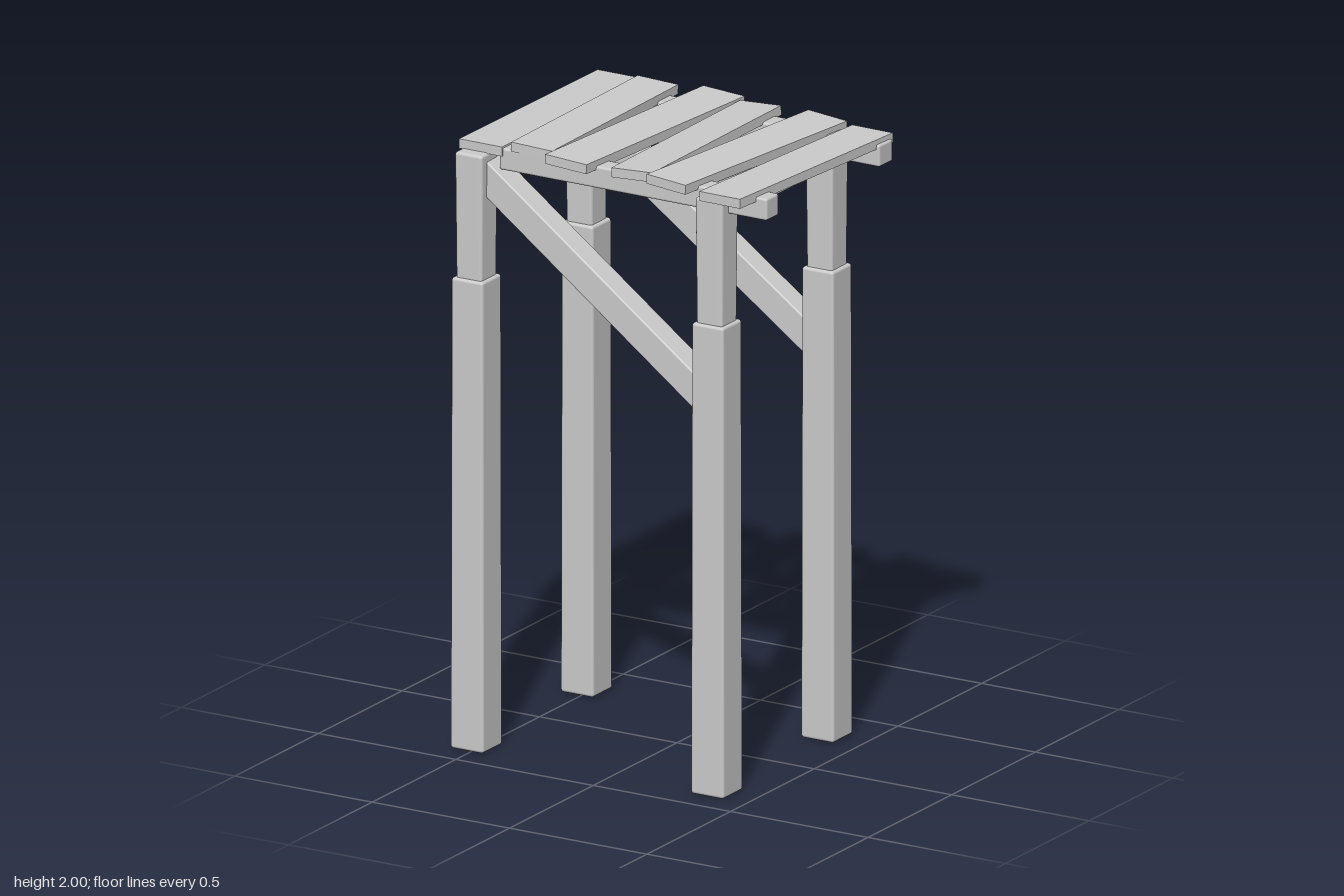
import * as THREE from 'three';
import { RoundedBoxGeometry } from 'three/addons/geometries/RoundedBoxGeometry.js';

const material = new THREE.MeshStandardMaterial({ color: 0xcccccc });

export function createModel() {
  const group = new THREE.Group();

  // A timber running from a to b, with an optional softened edge
  function timber(name, a, b, width, height, bevel = 0, roll = 0) {
    const start = new THREE.Vector3(...a);
    const end = new THREE.Vector3(...b);
    const length = start.distanceTo(end);
    const geometry = bevel
      ? new RoundedBoxGeometry(width, height, length, 2, bevel)
      : new THREE.BoxGeometry(width, height, length);
    const mesh = new THREE.Mesh(geometry, material);
    mesh.name = name;
    mesh.position.copy(start).add(end).multiplyScalar(0.5);
    mesh.lookAt(end);
    mesh.rotateZ(roll);
    group.add(mesh);
    return mesh;
  }

  // An upright post whose top is scaled by a taper
  function post(name, x, z, y0, y1, width, taper) {
    const height = y1 - y0;
    const geometry = new RoundedBoxGeometry(width, height, width, 2, 0.01);
    const p = geometry.attributes.position;
    for (let i = 0; i < p.count; i++) {
      const s = 1 + (taper - 1) * (p.getY(i) / height + 0.5);
      p.setX(i, p.getX(i) * s);
      p.setZ(i, p.getZ(i) * s);
    }
    const mesh = new THREE.Mesh(geometry, material);
    mesh.name = name;
    mesh.position.set(x, (y0 + y1) / 2, z);
    group.add(mesh);
  }

  // Four stepped legs
  for (const [side, x] of [['Right', -0.515], ['Left', 0.36]]) {
    for (const [end, z] of [['front', 0.353], ['back', -0.305]]) {
      post(`${end}${side}LowerLeg`, x, z, 0, 1.54, 0.12, 0.96);
      post(`${end}${side}UpperLeg`, x, z, 1.5, 1.95, 0.093, 1.08);
    }
  }

  // Diagonal braces at front and back
  timber('frontBrace', [-0.5, 1.89, 0.326], [0.36, 1.264, 0.345], 0.09, 0.097, 0.006);
  timber('backBrace', [-0.5, 1.89, -0.3], [0.36, 1.264, -0.31], 0.085, 0.097, 0.006);

  // Long rails and the cross rail beneath the planks
  timber('frontRail', [-0.43, 1.937, 0.32], [0.55, 1.937, 0.33], 0.073, 0.072, 0.008);
  timber('backRail', [-0.44, 1.937, -0.335], [0.57, 1.937, -0.315], 0.08, 0.072, 0.008);
  timber('crossRail', [0.335, 1.915, 0.34], [0.35, 1.915, -0.36], 0.1, 0.088, 0.005);

  // Uneven top planks: back x, back z, front x, front z, width, height, roll
  const planks = [
    [-0.488, -0.455, -0.495, 0.361, 0.157, 1.963, 0],
    [-0.322, -0.415, -0.31, 0.36, 0.147, 1.982, -0.04],
    [-0.095, -0.437, -0.157, 0.407, 0.158, 1.979, -0.03],
    [0.063, -0.398, 0.072, 0.387, 0.148, 1.977, 0.05],
    [0.31, -0.392, 0.216, 0.42, 0.153, 1.98, -0.04],
    [0.487, -0.37, 0.427, 0.446, 0.155, 1.972, 0.02],
  ];
  planks.forEach(([x0, z0, x1, z1, width, y, roll], i) =>
    timber(`plank${i + 1}`, [x0, y, z0], [x1, y, z1], width, 0.031, 0, roll));

  return group;
}
